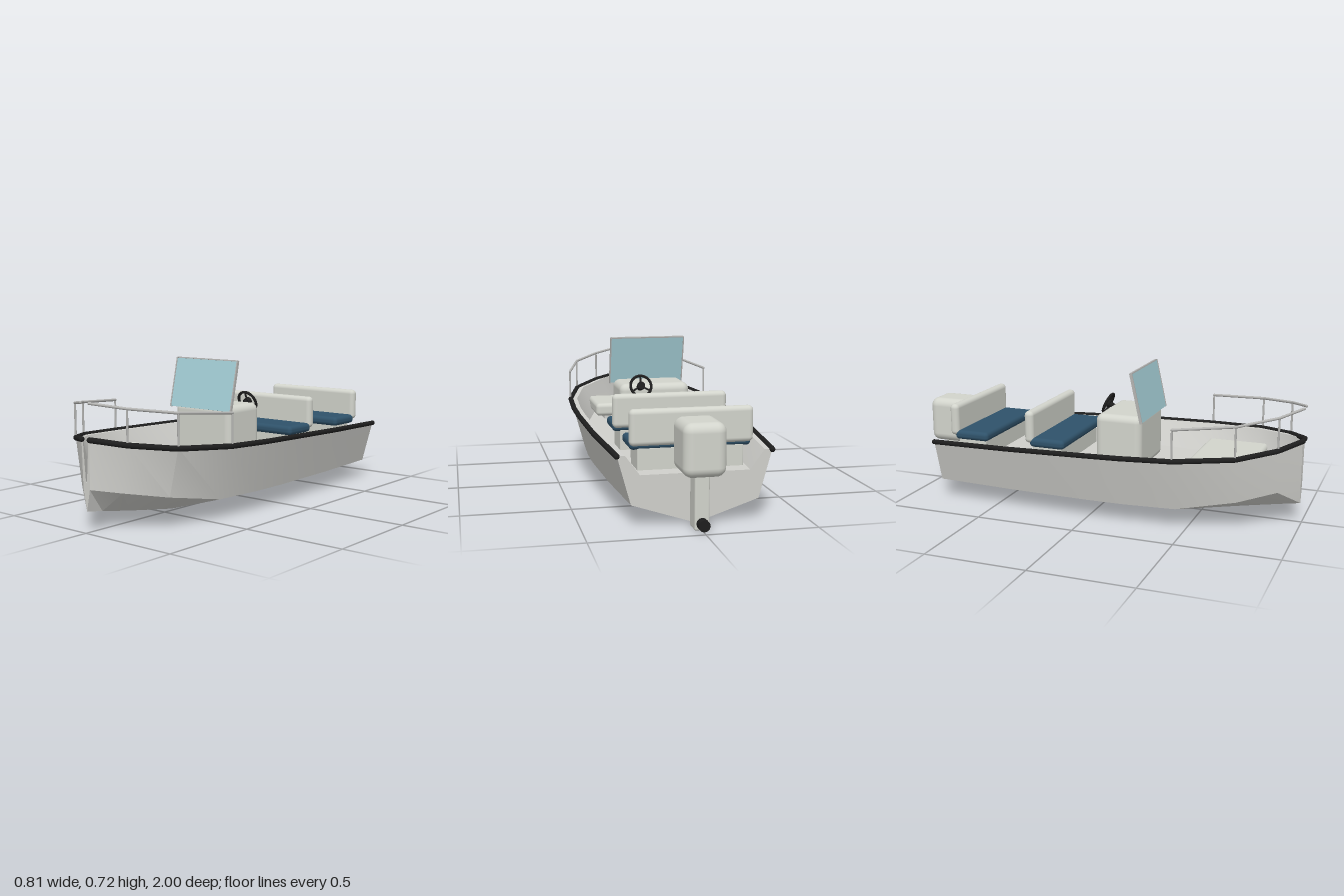
import * as THREE from 'three';
import { toCreasedNormals } from 'three/addons/utils/BufferGeometryUtils.js';
import { RoundedBoxGeometry } from 'three/addons/geometries/RoundedBoxGeometry.js';

const material = (name, color) => {
  const m = new THREE.MeshStandardMaterial({ color });
  m.name = name;
  return m;
};

// Hull stations: z, sheer half-width, sheer y, chine half-width, chine y, keel y
const STATIONS = [
  [-0.825, 0.345, 0.318, 0.285, 0.1, 0.006],
  [-0.4, 0.379, 0.333, 0.312, 0.1, 0.006],
  [0, 0.393, 0.347, 0.325, 0.1, 0.006],
  [0.2, 0.391, 0.352, 0.322, 0.1, 0.006],
  [0.45, 0.376, 0.36, 0.305, 0.102, 0.012],
  [0.73, 0.303, 0.378, 0.25, 0.152, 0.055],
  [0.9, 0.165, 0.4, 0.13, 0.183, 0.085],
  [0.99, 0.026, 0.42, 0.02, 0.198, 0.1],
];
const FLOOR = 0.23;

// Closed hull shell lofted through mirrored cross-sections
function hullGeometry() {
  const sections = STATIONS.map(([z, sx, sy, cx, cy, ky]) => {
    const half = [
      [cx, cy], [sx, sy],
      [Math.max(sx - 0.035, 0.018), sy],
      [Math.max(sx - 0.1, 0.003), FLOOR],
    ];
    const mirrored = half.map(([x, y]) => [-x, y]).reverse();
    return [[0, ky], ...half, ...mirrored].map(([x, y]) => new THREE.Vector3(x, y, z));
  });
  const pos = [];
  const tri = (...pts) => pts.forEach((p) => pos.push(p.x, p.y, p.z));
  for (let i = 0; i < sections.length - 1; i++) {
    const s = sections[i], t = sections[i + 1], n = s.length;
    for (let j = 0; j < n; j++) {
      const k = (j + 1) % n;
      tri(s[j], s[k], t[k]);
      tri(s[j], t[k], t[j]);
    }
  }
  // Transom and bow ends
  const cap = (s, front) => {
    const flat = s.map((p) => new THREE.Vector2(p.x, p.y));
    for (const [a, b, c] of THREE.ShapeUtils.triangulateShape(flat, [])) {
      if (front) tri(s[a], s[b], s[c]);
      else tri(s[a], s[c], s[b]);
    }
  };
  cap(sections[0], false);
  cap(sections[sections.length - 1], true);
  const g = new THREE.BufferGeometry();
  g.setAttribute('position', new THREE.Float32BufferAttribute(pos, 3));
  return toCreasedNormals(g, 0.45);
}

// Polyline path made of straight runs
function polyline(points) {
  const path = new THREE.CurvePath();
  for (let i = 0; i < points.length - 1; i++) path.add(new THREE.LineCurve3(points[i], points[i + 1]));
  return path;
}

export function createModel() {
  const boat = new THREE.Group();
  boat.name = 'boat';
  const hullGrey = material('hull grey', 0xd0d0cc);
  const offWhite = material('off white', 0xd2d4cc);
  const navy = material('navy cushion', 0x2f526a);
  const black = material('black rubber', 0x1e1e1e);
  const steel = material('rail steel', 0xb4b4b2);
  const glass = material('pale blue glass', 0xa4ced6);

  const add = (name, geometry, mat, parent = boat) => {
    const mesh = new THREE.Mesh(geometry, mat);
    mesh.name = name;
    parent.add(mesh);
    return mesh;
  };
  // Rounded box given by its limits on each axis
  const block = (name, mat, [x0, x1], [y0, y1], [z0, z1], r, parent) => {
    const g = new RoundedBoxGeometry(x1 - x0, y1 - y0, z1 - z0, 4, r);
    const m = add(name, g, mat, parent);
    m.position.set((x0 + x1) / 2, (y0 + y1) / 2, (z0 + z1) / 2);
    return m;
  };
  // Round bar between two points
  const bar = (name, mat, a, b, r, parent) => {
    const m = add(name, new THREE.CylinderGeometry(r, r, a.distanceTo(b), 12), mat, parent);
    m.position.copy(a).lerp(b, 0.5);
    m.quaternion.setFromUnitVectors(new THREE.Vector3(0, 1, 0), b.clone().sub(a).normalize());
    return m;
  };

  add('hull', hullGeometry(), hullGrey);

  // Rub rails and bow handrails on both sides
  for (const [side, label] of [[1, 'left'], [-1, 'right']]) {
    const edge = STATIONS.map(([z, x, y]) => new THREE.Vector3(side * x, y - 0.002, z));
    add(label + 'RubRail', new THREE.TubeGeometry(polyline(edge), 90, 0.013, 10), black);
    for (const end of [edge[0], edge[edge.length - 1]]) {
      add(label + 'RubRailEnd', new THREE.SphereGeometry(0.013, 10, 8), black).position.copy(end);
    }

    const handrail = new THREE.Group();
    handrail.name = label + 'Handrail';
    boat.add(handrail);
    const top = [[0.378, 0.51, 0.45], [0.304, 0.532, 0.73], [0.165, 0.556, 0.9], [0.027, 0.577, 0.99]]
      .map(([x, y, z]) => new THREE.Vector3(side * x, y, z));
    top.forEach((p, i) => {
      add('railJoint', new THREE.SphereGeometry(0.0065, 10, 8), steel, handrail).position.copy(p);
      if (i === 3) return;
      bar('topRail', steel, p, top[i + 1], 0.0065, handrail);
      bar('railPost', steel, new THREE.Vector3(p.x, STATIONS[i + 4][2] - 0.005, p.z), p, 0.005, handrail);
    });
  }

  // Bow cushion
  block('bowCushion', offWhite, [-0.23, 0.23], [0.25, 0.32], [0.47, 0.78], 0.022);
  block('bowCushionBase', hullGrey, [-0.18, 0.18], [0.22, 0.27], [0.5, 0.74], 0.004);

  // Steering console
  block('console', offWhite, [-0.18, 0.18], [0.22, 0.497], [-0.008, 0.23], 0.035);

  // Raked windscreen with slim frame
  const screen = new THREE.Group();
  screen.name = 'windscreen';
  screen.position.set(0, 0.594, 0.211);
  screen.rotation.x = -0.22;
  boat.add(screen);
  add('glassPane', new THREE.BoxGeometry(0.384, 0.245, 0.009), glass, screen);
  for (const s of [-1, 1]) {
    add('frameSide', new THREE.BoxGeometry(0.006, 0.25, 0.014), steel, screen).position.x = s * 0.194;
  }
  add('frameTop', new THREE.BoxGeometry(0.384, 0.006, 0.014), steel, screen).position.y = 0.1245;

  // Steering wheel facing aft and tilted up
  const wheel = new THREE.Group();
  wheel.name = 'steeringWheel';
  wheel.position.set(0.08, 0.492, -0.035);
  wheel.rotation.x = 0.42;
  boat.add(wheel);
  add('wheelRim', new THREE.TorusGeometry(0.053, 0.007, 10, 32), black, wheel);
  const hub = add('wheelHub', new THREE.CylinderGeometry(0.02, 0.02, 0.022, 16), black, wheel);
  hub.rotation.x = Math.PI / 2;
  for (let i = 0; i < 3; i++) {
    const a = Math.PI / 2 + i * Math.PI * 2 / 3;
    const rim = new THREE.Vector3(Math.cos(a) * 0.053, Math.sin(a) * 0.053, 0);
    bar('wheelSpoke', black, new THREE.Vector3(), rim, 0.005, wheel);
  }
  bar('steeringColumn', black, new THREE.Vector3(0.08, 0.492, -0.035), new THREE.Vector3(0.08, 0.465, 0.02), 0.014);

  // Two bench seats
  for (const [name, z] of [['middleBench', -0.35], ['rearBench', -0.77]]) {
    const bench = new THREE.Group();
    bench.name = name;
    boat.add(bench);
    block('seatBase', offWhite, [-0.24, 0.24], [0.22, 0.33], [z + 0.03, z + 0.185], 0.006, bench);
    block('seatCushion', navy, [-0.275, 0.275], [0.32, 0.367], [z + 0.025, z + 0.212], 0.02, bench);
    block('seatBack', offWhite, [-0.278, 0.278], [0.34, 0.502], [z, z + 0.048], 0.022, bench);
  }

  // Outboard motor
  const motor = new THREE.Group();
  motor.name = 'outboardMotor';
  boat.add(motor);
  block('motorCowl', offWhite, [-0.094, 0.094], [0.242, 0.475], [-1, -0.775], 0.042, motor);
  block('motorLeg', offWhite, [-0.033, 0.033], [0.004, 0.29], [-0.938, -0.852], 0.008, motor);
  bar('propellerHub', black, new THREE.Vector3(0, 0.034, -0.93), new THREE.Vector3(0, 0.034, -0.978), 0.026, motor);

  return boat;
}
